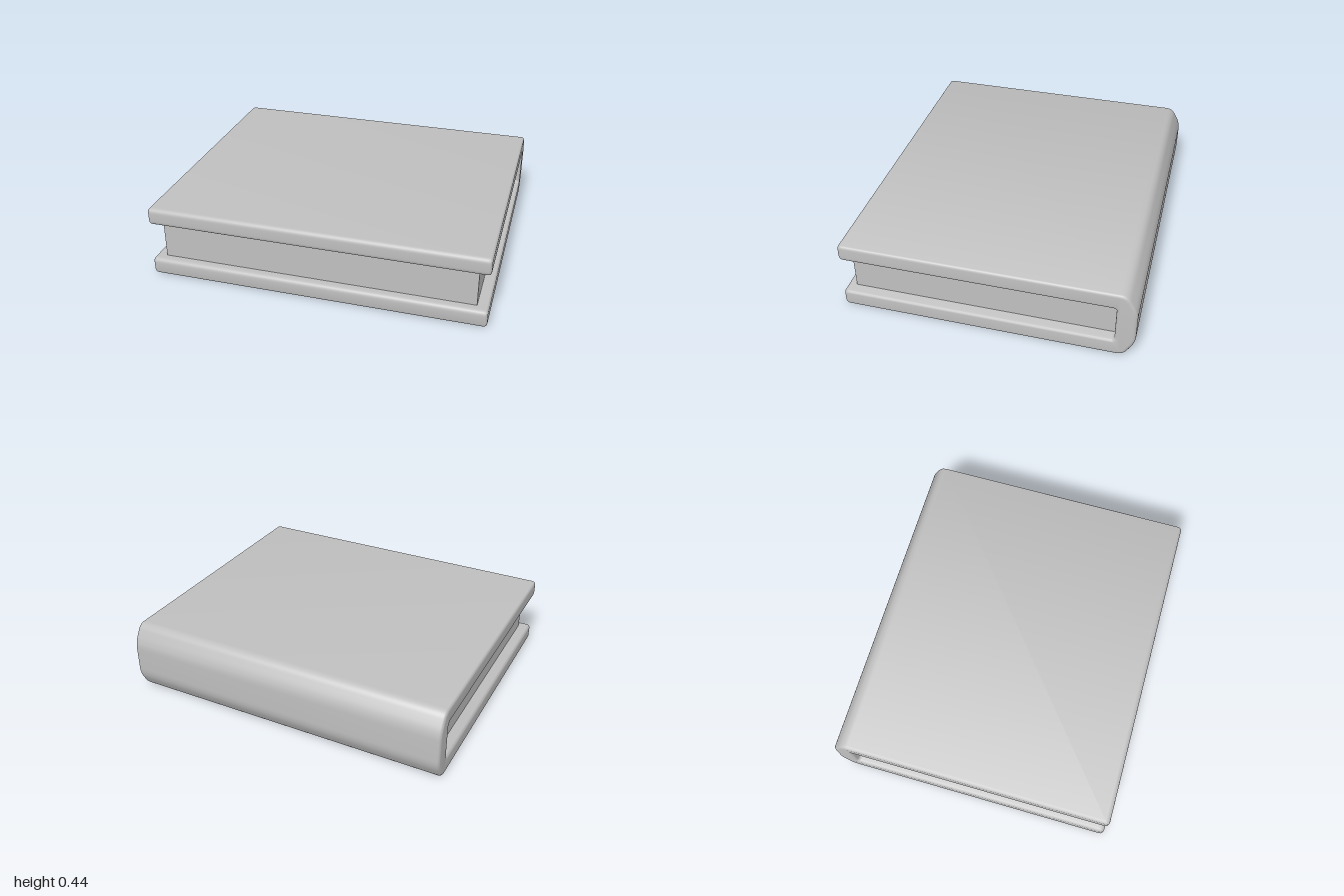
import * as THREE from 'three';
import { toCreasedNormals } from 'three/addons/utils/BufferGeometryUtils.js';

const WIDTH = 2, BEVEL = 0.02;

// Closed outline whose corners [x, y, radius] are rounded off
function roundedShape(corners) {
  const shape = new THREE.Shape();
  const n = corners.length;
  const toward = (a, b, r) => {
    const from = new THREE.Vector2(a[0], a[1]);
    const dir = new THREE.Vector2(b[0], b[1]).sub(from).normalize();
    return from.addScaledVector(dir, r);
  };
  corners.forEach((c, i) => {
    const start = toward(c, corners[(i + n - 1) % n], c[2]);
    const end = toward(c, corners[(i + 1) % n], c[2]);
    if (i === 0) shape.moveTo(start.x, start.y);
    else shape.lineTo(start.x, start.y);
    shape.quadraticCurveTo(c[0], c[1], end.x, end.y);
  });
  shape.closePath();
  return shape;
}

export function createModel() {
  const group = new THREE.Group();
  group.name = 'book';
  const grey = new THREE.MeshStandardMaterial({ color: 0xc0c0c0 });
  grey.name = 'plain grey';

  // Cover: C-shaped side profile (first value is -z), swept across the width
  const profile = roundedShape([
    [-0.857, 0, 0.03], [0.795, 0, 0.04], [0.857, 0.108, 0.045],
    [0.857, 0.332, 0.045], [0.795, 0.44, 0.04], [-0.857, 0.44, 0.03],
    [-0.857, 0.335, 0.03], [0.74, 0.335, 0.02],
    [0.74, 0.105, 0.02], [-0.857, 0.105, 0.03],
  ]);
  let coverGeometry = new THREE.ExtrudeGeometry(profile, {
    depth: WIDTH - 2 * BEVEL, curveSegments: 6,
    bevelEnabled: true, bevelThickness: BEVEL, bevelSize: BEVEL,
    bevelOffset: -BEVEL, bevelSegments: 4,
  });
  coverGeometry.translate(0, 0, -WIDTH / 2 + BEVEL);
  coverGeometry.rotateY(Math.PI / 2);
  coverGeometry = toCreasedNormals(coverGeometry, 0.6);
  const cover = new THREE.Mesh(coverGeometry, grey);
  cover.name = 'cover';
  group.add(cover);

  // Page block, set back from the cover edges
  const pages = new THREE.Mesh(new THREE.BoxGeometry(1.866, 0.234, 1.545), grey);
  pages.name = 'pages';
  pages.position.set(0, 0.22, 0.0275);
  group.add(pages);

  return group;
}
